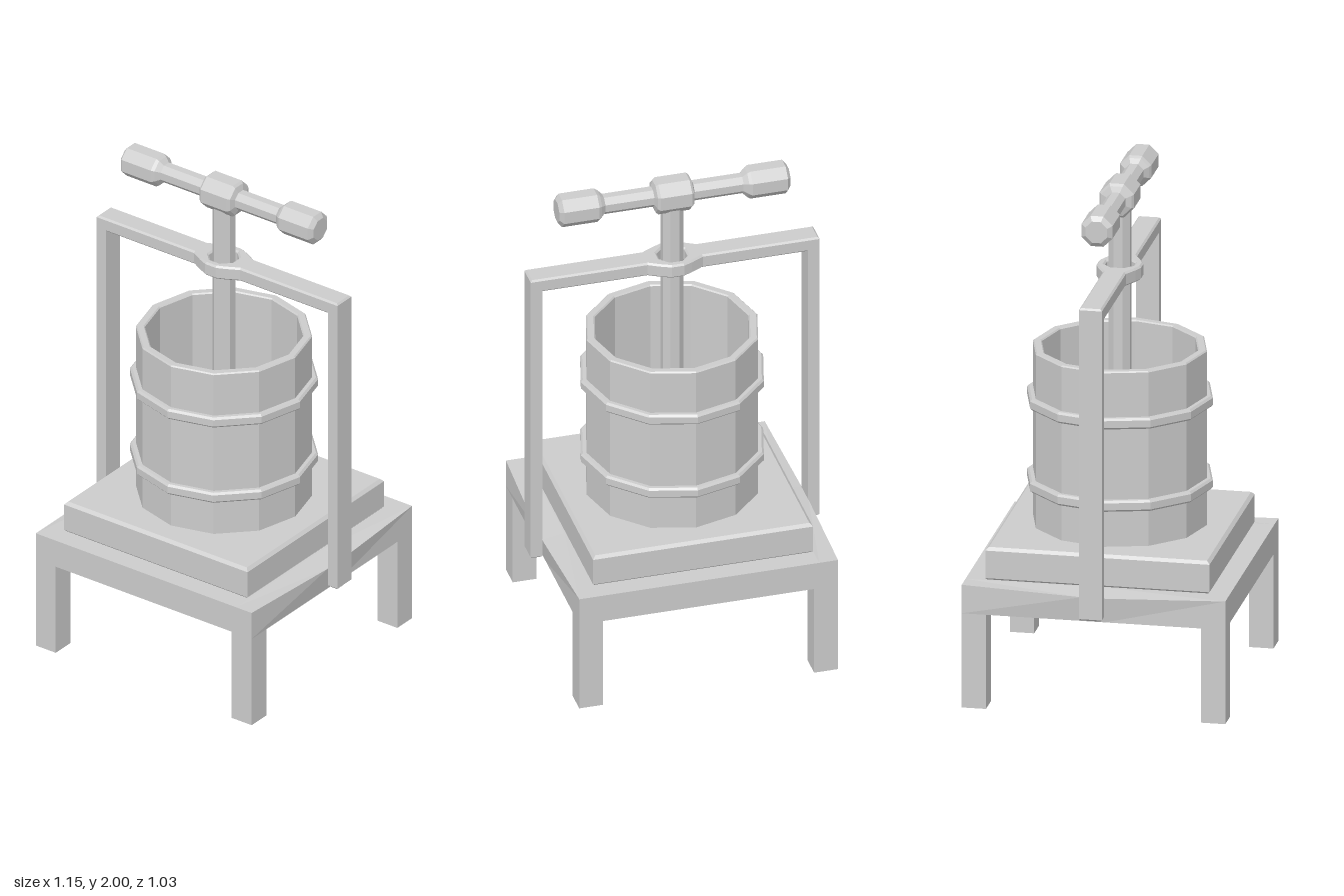
import * as THREE from 'three';

const material = new THREE.MeshStandardMaterial({ color: 0xcccccc, flatShading: true });

function add(parent, name, geometry, x = 0, y = 0, z = 0) {
  const mesh = new THREE.Mesh(geometry, material);
  mesh.name = name;
  mesh.position.set(x, y, z);
  parent.add(mesh);
  return mesh;
}

// Extrudes a plan shape upward from y = 0, with chamfered rims inside the outline
function slab(shape, height, bevel) {
  const g = new THREE.ExtrudeGeometry(shape, {
    depth: height - 2 * bevel, bevelEnabled: true, bevelSegments: 1,
    bevelSize: bevel, bevelThickness: bevel, bevelOffset: -bevel, curveSegments: 8,
  });
  return g.translate(0, 0, bevel).rotateX(-Math.PI / 2);
}

function shapeOf(points) {
  return new THREE.Shape(points.map(([x, y]) => new THREE.Vector2(x, y)));
}

const rect = (w, d) => shapeOf([[-w / 2, -d / 2], [w / 2, -d / 2], [w / 2, d / 2], [-w / 2, d / 2]]);

function lathe(points, sides, phase = 0) {
  return new THREE.LatheGeometry(points.map(([r, y]) => new THREE.Vector2(r, y)), sides, phase);
}

function createTable() {
  const table = new THREE.Group();
  table.name = 'table';

  // Top: the side edges bow out slightly where the frame is fixed
  const top = new THREE.BoxGeometry(1.03, 0.115, 1.03, 3, 1, 3);
  const p = top.attributes.position;
  for (let i = 0; i < p.count; i++) {
    const x = p.getX(i), z = p.getZ(i);
    if (Math.abs(x) < 0.4) p.setX(i, Math.sign(x) * 0.44);
    if (Math.abs(z) < 0.4) {
      p.setZ(i, Math.sign(z) * 0.045);
      if (Math.abs(x) > 0.5 && p.getY(i) > 0) {
        p.setX(i, Math.sign(x) * 0.53);
        p.setY(i, 0.043);
      }
    }
  }
  add(table, 'tableTop', top, 0, 0.4375, 0);

  // Legs, open at the foot
  for (const sx of [-1, 1]) for (const sz of [-1, 1]) {
    const r = 0.0475 * Math.SQRT2;
    const leg = new THREE.CylinderGeometry(r, r, 0.38, 4, 1, true).rotateY(Math.PI / 4);
    add(table, 'leg', leg, sx * 0.4675, 0.19, sz * 0.4675);
  }
  return table;
}

function createBasket() {
  const basket = new THREE.Group();
  basket.name = 'basket';
  // Hollow twelve-sided wall
  add(basket, 'basketWall', lathe([
    [0.34, 0.62], [0.34, 1.325], [0.335, 1.33], [0.31, 1.33], [0.305, 1.325], [0.305, 0.62],
  ], 12));
  // Hoops
  for (const y of [0.793, 1.125]) {
    add(basket, 'hoop', lathe([
      [0.335, -0.022], [0.355, -0.022], [0.363, -0.014],
      [0.363, 0.014], [0.355, 0.022], [0.335, 0.022],
    ], 12), 0, y, 0);
  }
  return basket;
}

function createFrame() {
  const frame = new THREE.Group();
  frame.name = 'frame';
  // Crossbar widening into an eye around the screw
  const half = [[-0.575, -0.045], [-0.11, -0.045], [-0.06, -0.072], [-0.025, -0.087],
    [0.025, -0.087], [0.06, -0.072], [0.11, -0.045], [0.575, -0.045]];
  const bar = shapeOf([...half, ...half.map(([x, z]) => [-x, -z])]);
  const eye = new THREE.Path();
  for (let i = 0; i < 8; i++) {
    const a = -(i + 0.5) * Math.PI / 4;
    const x = 0.06 * Math.cos(a), y = 0.06 * Math.sin(a);
    if (i === 0) eye.moveTo(x, y); else eye.lineTo(x, y);
  }
  eye.closePath();
  bar.holes.push(eye);
  add(frame, 'crossbar', slab(bar, 0.057, 0.007), 0, 1.604, 0);
  for (const s of [-1, 1]) {
    add(frame, 'upright', slab(rect(0.046, 0.09), 1.22, 0.007), s * 0.552, 0.4, 0);
  }
  return frame;
}

function createScrew() {
  const screw = new THREE.Group();
  screw.name = 'screw';
  const phase = Math.PI / 8;
  add(screw, 'shaft', lathe([[0, 0.63], [0.045, 0.63], [0.045, 1.92], [0, 1.92]], 8, phase));

  // Handle with hub and two grips, mirrored about its middle
  const half = [[0, -0.46], [0.046, -0.46], [0.066, -0.445], [0.066, -0.305], [0.058, -0.293],
    [0.04, -0.275], [0.04, -0.08], [0.064, -0.072], [0.073, -0.062]];
  const profile = [...half, ...half.map(([r, y]) => [r, -y]).reverse()];
  add(screw, 'handle', lathe(profile, 8, phase).rotateZ(Math.PI / 2), 0, 1.933, 0);
  return screw;
}

export function createModel() {
  const model = new THREE.Group();
  model.name = 'fruitPress';
  model.add(createTable());
  add(model, 'basePlate', slab(rect(0.876, 0.876), 0.135, 0.012), 0, 0.49, 0);
  model.add(createBasket(), createFrame(), createScrew());
  return model;
}
